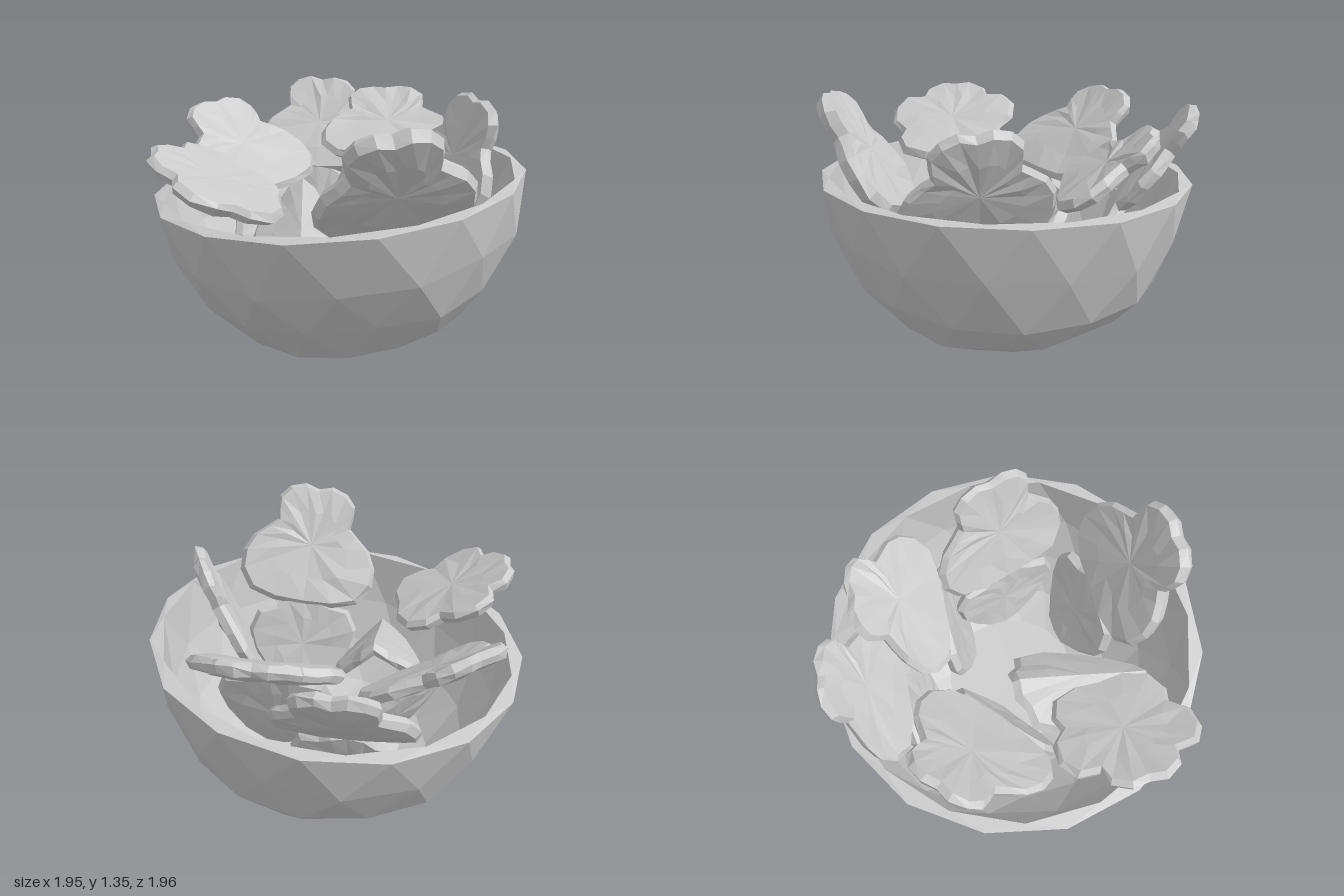
import * as THREE from 'three';

const clay = new THREE.MeshStandardMaterial({ color: 0xcacaca, flatShading: true });
clay.name = 'light grey';

// Repeatable value from -1 to 1
const noise = (a, b) => {
  const s = Math.sin(a * 12.9898 + b * 78.233) * 43758.5453;
  return 2 * (s - Math.floor(s)) - 1;
};

// Right half outlines, bottom to top, in a box one unit wide and high
const mirrored = (half) => [
  ...half.map(([x, y]) => [x, y]),
  ...half.slice(1, -1).reverse().map(([x, y]) => [-x, y]),
];
const HEADED = mirrored([[0, -0.5], [0.22, -0.49], [0.4, -0.43], [0.49, -0.28], [0.49, -0.12],
  [0.43, 0.02], [0.34, 0.11], [0.27, 0.18], [0.28, 0.27], [0.28, 0.37], [0.21, 0.46], [0.1, 0.5], [0, 0.47]]);
const FLOWER = mirrored([[0, -0.48], [0.18, -0.5], [0.36, -0.42], [0.42, -0.26], [0.39, -0.14],
  [0.49, -0.02], [0.5, 0.16], [0.42, 0.29], [0.27, 0.3], [0.24, 0.42], [0.12, 0.5], [0, 0.48]]);
const PETAL = mirrored([[0, -0.5], [0.15, -0.47], [0.32, -0.3], [0.46, -0.05], [0.5, 0.15],
  [0.42, 0.35], [0.25, 0.4], [0.15, 0.48], [0, 0.5]]);

// Thick lobed slab, built as rings from the face centre over the edge to the back
function chipGeometry(outline, width, length, { thick = 0.08, cup = 0.02, fold = 0 }, seed) {
  const rings = [[0, 0.5], [0.55, 0.5], [0.93, 0.42], [1, 0], [0.93, -0.42], [0.55, -0.5], [0, -0.5]];
  const n = outline.length;
  const pos = [];
  const index = [];
  rings.forEach(([r, z], k) => outline.forEach(([x, y], i) => {
    const wobble = r === 0 ? 0 : 0.008 * noise(i + seed * 31, r * 10);
    const bend = cup * (4 * r * r * (x * x + y * y) - 0.5);
    pos.push(x * r * width, y * r * length, z * thick + bend + fold * Math.abs(x * r) + wobble);
    if (k === rings.length - 1) return;
    const j = (i + 1) % n;
    const [a, b, c, d] = [k * n + i, (k + 1) * n + i, (k + 1) * n + j, k * n + j];
    index.push(a, b, c, a, c, d);
  }));
  const geo = new THREE.BufferGeometry();
  geo.setAttribute('position', new THREE.Float32BufferAttribute(pos, 3));
  geo.setIndex(index);
  geo.computeVertexNormals();
  return geo;
}

// Chip stretched from base to tip, its face turned towards the given direction
function chip(name, outline, tip, base, face, width, options, seed) {
  const t = new THREE.Vector3(...tip);
  const b = new THREE.Vector3(...base);
  const up = t.clone().sub(b);
  const length = up.length();
  up.normalize();
  const side = up.clone().cross(new THREE.Vector3(...face)).normalize();
  const normal = side.clone().cross(up);
  const mesh = new THREE.Mesh(chipGeometry(outline, width, length, options, seed), clay);
  mesh.name = name;
  mesh.quaternion.setFromRotationMatrix(new THREE.Matrix4().makeBasis(side, up, normal));
  mesh.position.copy(t).add(b).multiplyScalar(0.5);
  return mesh;
}

// Headed chip with a steeper lower leaf that reaches down to the bowl floor
function bentChip(name, tip, knee, foot, face, width, options, seed) {
  const group = new THREE.Group();
  group.name = name;
  const kneeTop = knee.map((v, i) => v + 0.08 * (tip[i] - knee[i]));
  group.add(
    chip('upperLeaf', HEADED, tip, knee, face, width, options, seed),
    chip('lowerLeaf', PETAL, kneeTop, foot, face, width * 0.8, {}, seed + 20),
  );
  return group;
}

// Faceted bowl: a lathe with every row turned half a step
function bowl() {
  const profile = [[0, 0], [0.45, 0], [0.63, 0.1], [0.81, 0.3], [0.93, 0.56], [0.985, 0.84],
    [0.93, 0.85], [0.87, 0.56], [0.75, 0.33], [0.57, 0.15], [0.38, 0.07], [0, 0.06]];
  const segments = 15;
  const geo = new THREE.LatheGeometry(profile.map(([x, y]) => new THREE.Vector2(x, y)), segments);
  const p = geo.attributes.position;
  const v = new THREE.Vector3();
  const axis = new THREE.Vector3(0, 1, 0);
  for (let i = 0; i < p.count; i++) {
    const row = i % profile.length;
    const column = Math.floor(i / profile.length) % segments;
    v.fromBufferAttribute(p, i);
    const amount = row > 1 && row < 5 ? 0.015 : 0.005;
    const scale = 1 + amount * noise(column, row);
    v.x *= scale;
    v.z *= scale;
    if (row > 1 && row < 5) v.y += 0.03 * noise(column + 40, row);
    v.applyAxisAngle(axis, row * Math.PI / segments);
    p.setXYZ(i, v.x, v.y, v.z);
  }
  geo.computeVertexNormals();
  const mesh = new THREE.Mesh(geo, clay);
  mesh.name = 'bowl';
  mesh.position.set(0.07, 0.038, 0.025);
  mesh.rotation.z = 0.083;
  return mesh;
}

export function createModel() {
  const model = new THREE.Group();
  model.name = 'bowl of chips';
  model.add(
    bowl(),
    bentChip('frontChip', [0.26, 1.33, 0.91], [0.3, 0.74, 0.52], [0.28, 0.25, 0.35],
      [-0.2, 0.6, -0.8], 0.8, { thick: 0.11 }, 1),
    bentChip('rightChip', [0.74, 1.31, 0.01], [0.5, 0.68, 0.06], [0.42, 0.25, 0.02],
      [-0.85, 0.4, 0.42], 0.8, {}, 3),
    bentChip('backRightChip', [0.25, 1.2, -0.78], [0.28, 0.87, -0.31], [0.26, 0.3, -0.2],
      [0, 0.8, 0.6], 0.8, {}, 4),
    bentChip('backChip', [-0.14, 1.23, -0.96], [-0.16, 0.72, -0.58], [-0.14, 0.25, -0.42],
      [0, 0.6, 0.8], 0.74, {}, 5),
    bentChip('backLeftChip', [-0.77, 1.17, -0.48], [-0.37, 0.74, -0.1], [-0.24, 0.25, -0.02],
      [0.5, 0.7, 0.5], 0.8, {}, 6),
    chip('frontLeftChip', FLOWER, [-0.89, 1.12, 0.52], [-0.27, 0.83, 0.42], [0.42, 0.9, 0], 0.74, {}, 7),
    chip('foldedChip', PETAL, [-0.2, 0.84, -0.02], [-0.16, 0.5, 0.76], [0.1, 0.9, 0.35], 0.5,
      { cup: 0, fold: -0.35 }, 8),
  );
  return model;
}
